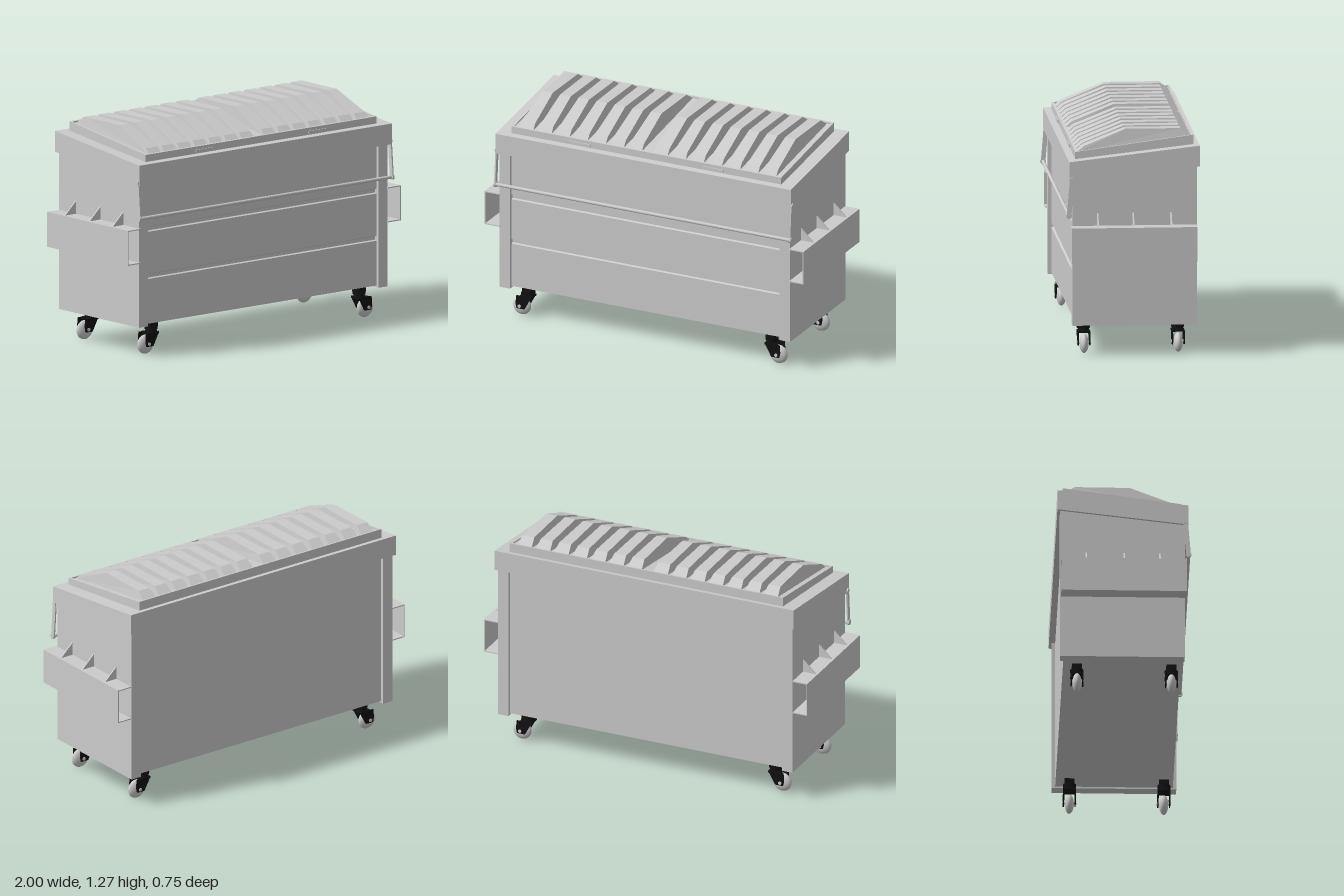
import * as THREE from 'three';

const grey = new THREE.MeshStandardMaterial({ color: 0xcccccc });
const black = new THREE.MeshStandardMaterial({ color: 0x111111 });

// Extrude a side profile of [z, y] points from x0 to x1
function sideGeo(points, x0, x1) {
  const shape = new THREE.Shape(points.map(([z, y]) => new THREE.Vector2(z, y)));
  const geo = new THREE.ExtrudeGeometry(shape, { depth: x1 - x0, bevelEnabled: false });
  return geo.rotateY(-Math.PI / 2).translate(x1, 0, 0);
}

function add(parent, name, geo, material = grey) {
  const mesh = new THREE.Mesh(geo, material);
  mesh.name = name;
  parent.add(mesh);
  return mesh;
}

// Box given by its extents
function boxGeo(x0, x1, y0, y1, z0, z1) {
  return new THREE.BoxGeometry(x1 - x0, y1 - y0, z1 - z0)
    .translate((x0 + x1) / 2, (y0 + y1) / 2, (z0 + z1) / 2);
}

function group(parent, name) {
  const g = new THREE.Group();
  g.name = name;
  parent.add(g);
  return g;
}

// Height of the sloping lid surface at depth z
const lidY = (z) => 1.15 + (0.32 - z) * (0.09 / 0.665);

// One raised rib of the lid: its flanks lean inwards with height
function ribGeo(cx) {
  const half = 0.046;
  const geo = sideGeo([
    [0.31, lidY(0.31) - 0.012], [0.27, 1.175], [0.035, 1.27],
    [-0.275, 1.27], [-0.335, lidY(-0.335) - 0.012],
  ], -half, half);
  const p = geo.attributes.position;
  for (let i = 0; i < p.count; i++) {
    const h = Math.max(0, p.getY(i) - lidY(p.getZ(i)) + 0.01);
    const inset = Math.min(0.013, h * 0.2);
    p.setX(i, p.getX(i) - Math.sign(p.getX(i)) * inset);
  }
  geo.computeVertexNormals();
  return geo.translate(cx, 0, 0);
}

// Swivel caster trailing towards +x
function makeCaster() {
  const g = new THREE.Group();
  g.name = 'caster';
  add(g, 'casterPlate', boxGeo(-0.028, 0.028, 0.15, 0.182, -0.028, 0.028), black);
  add(g, 'casterBearing', new THREE.CylinderGeometry(0.037, 0.037, 0.016, 20).translate(0, 0.145, 0), black);
  add(g, 'casterCollar', new THREE.CylinderGeometry(0.03, 0.034, 0.018, 20).translate(0, 0.13, 0), black);
  add(g, 'forkCrown', boxGeo(-0.03, 0.042, 0.113, 0.124, -0.036, 0.036), black);
  const fork = new THREE.Shape([
    [-0.03, 0.122], [0.012, 0.045], [0.06, 0.045], [0.066, 0.075], [0.062, 0.122],
  ].map(([x, y]) => new THREE.Vector2(x, y)));
  for (const z of [-0.036, 0.029]) {
    add(g, 'forkLeg', new THREE.ExtrudeGeometry(fork, { depth: 0.007, bevelEnabled: false }).translate(0, 0, z), black);
  }
  add(g, 'wheel', new THREE.SphereGeometry(0.055, 28, 18).scale(1, 1, 0.47).translate(0.042, 0.055, 0));
  add(g, 'axle', new THREE.CylinderGeometry(0.01, 0.01, 0.08, 12).rotateX(Math.PI / 2).translate(0.042, 0.06, 0));
  return g;
}

export function createModel() {
  const model = new THREE.Group();
  model.name = 'wheeledDumpster';

  // Container: recessed front and back panels, with two shallow grooves in front
  const body = group(model, 'container');
  const f = 0.32, d = 0.012;
  add(body, 'bodyPanel', sideGeo([
    [-0.34, 0.182], [f, 0.182],
    [f, 0.438], [f - d, 0.443], [f - d, 0.462], [f, 0.467],
    [f, 0.708], [f - d, 0.713], [f - d, 0.732], [f, 0.737],
    [f, 1.06], [-0.34, 1.14],
  ], -0.85, 0.85));

  // Sloping rim around the top
  add(body, 'rim', sideGeo([
    [0.36, 0.987], [0.36, 1.105], [-0.375, 1.19], [-0.375, 1.072],
  ], -0.925, 0.925));

  for (const s of [-1, 1]) {
    const mirror = (a, b) => (s > 0 ? [a, b] : [-b, -a]);

    // End wall whose edges form the corner posts
    add(body, 'endWall', sideGeo([
      [-0.36, 0.172], [0.34, 0.172], [0.34, 1.05], [-0.36, 1.13],
    ], ...mirror(0.845, 0.91)));

    // Fork pocket, open at front and back
    const pocket = group(model, 'forkPocket');
    const t = 0.006;
    add(pocket, 'pocketTop', boxGeo(...mirror(0.905, 1), 0.74 - t, 0.74, -0.355, 0.35));
    add(pocket, 'pocketBottom', boxGeo(...mirror(0.905, 1), 0.54, 0.54 + t, -0.355, 0.35));
    add(pocket, 'pocketOuterWall', boxGeo(...mirror(1 - t, 1), 0.54 + t, 0.74 - t, -0.355, 0.35));

    // Triangular gussets above the pocket
    const tri = new THREE.Shape([[0.905, 0.738], [0.99, 0.738], [0.905, 0.818]]
      .map(([x, y]) => new THREE.Vector2(s * x, y)));
    for (const z of [-0.213, 0, 0.2]) {
      add(pocket, 'gusset', new THREE.ExtrudeGeometry(tri, { depth: 0.008, bevelEnabled: false }).translate(0, 0, z - 0.004));
    }

    // Swinging arm of the lock bar
    const arm = group(model, 'lockBarArm');
    add(arm, 'armPlate', sideGeo([
      [0.348, 0.80], [0.374, 0.80], [0.357, 1.005], [0.331, 1.005],
    ], ...mirror(0.92, 0.928)));
    for (const [y, z, r] of [[1.005, 0.344, 0.013], [0.8, 0.361, 0.016]]) {
      add(arm, 'armPivot', new THREE.CylinderGeometry(r, r, 0.014, 20)
        .rotateZ(Math.PI / 2).translate(s * 0.925, y, z));
    }

    // Casters, trailing outwards
    for (const z of [-0.262, 0.268]) {
      const caster = makeCaster();
      caster.position.set(s * 0.762, 0, z);
      if (s < 0) caster.rotation.y = Math.PI;
      model.add(caster);
    }
  }

  // Lock bar across the front
  add(model, 'lockBar', new THREE.CylinderGeometry(0.01, 0.01, 1.85, 16)
    .rotateZ(Math.PI / 2).translate(0, 0.8, 0.361));

  // Lid slab with a thin raised lip
  const lid = group(model, 'lid');
  const slope = (z0, z1, bottom, top, x0, x1) => sideGeo([
    [z0, lidY(z0) + bottom], [z1, lidY(z1) + bottom], [z1, lidY(z1) + top], [z0, lidY(z0) + top],
  ], x0, x1);
  add(lid, 'lidSlab', slope(-0.345, 0.32, -0.06, -0.008, -0.845, 0.845));
  add(lid, 'lidLipFront', slope(0.308, 0.32, -0.01, 0, -0.845, 0.845));
  add(lid, 'lidLipBack', slope(-0.345, -0.333, -0.01, 0, -0.845, 0.845));
  add(lid, 'lidLipLeft', slope(-0.333, 0.308, -0.01, 0, 0.833, 0.845));
  add(lid, 'lidLipRight', slope(-0.333, 0.308, -0.01, 0, -0.845, -0.833));

  // Seven ribs and one grip on each half of the lid
  for (const s of [-1, 1]) {
    for (let i = 0; i < 7; i++) add(lid, 'lidRib', ribGeo(s * (0.08 + i * 0.1135)));
    add(lid, 'lidGrip', boxGeo(s * 0.415 - 0.068, s * 0.415 + 0.068, 1.116, 1.132, 0.31, 0.326));
  }

  return model;
}
